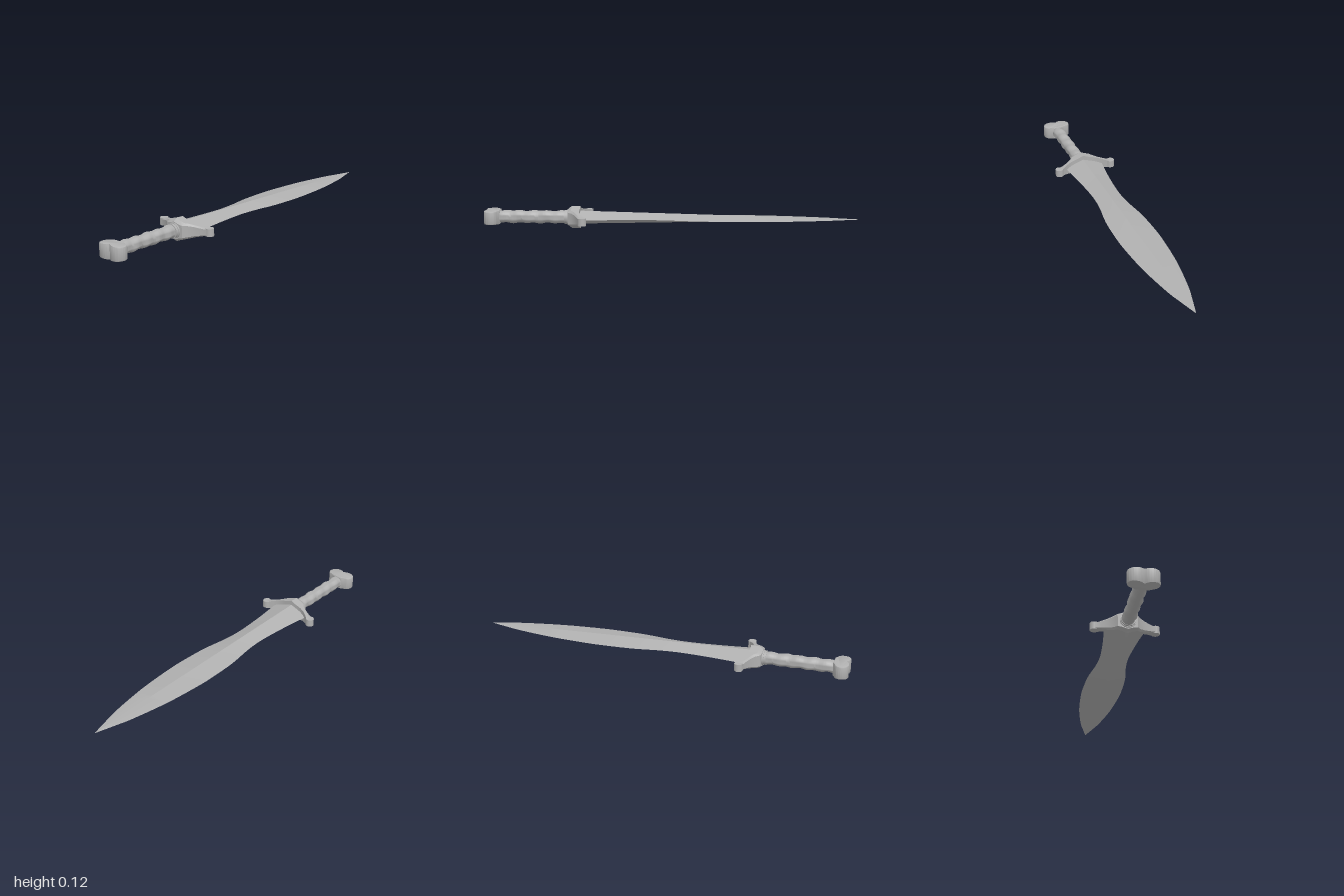
import * as THREE from 'three';
import { toCreasedNormals } from 'three/addons/utils/BufferGeometryUtils.js';

const MID = 0.062; // height of the sword's centre plane

// Skin a list of closed rings (arrays of [x, y, z]) and cap both ends
function loft(rings, crease) {
  const n = rings[0].length;
  const index = [];
  for (let r = 0; r < rings.length - 1; r++) {
    for (let i = 0; i < n; i++) {
      const a = r * n + i, b = r * n + (i + 1) % n;
      index.push(a, b, b + n, a, b + n, a + n);
    }
  }
  const last = (rings.length - 1) * n;
  for (let i = 1; i < n - 1; i++) {
    index.push(0, i + 1, i, last, last + i, last + i + 1);
  }
  const geo = new THREE.BufferGeometry();
  geo.setAttribute('position', new THREE.Float32BufferAttribute(rings.flat(2), 3));
  geo.setIndex(index);
  return toCreasedNormals(geo, crease);
}

export function createModel() {
  const sword = new THREE.Group();
  sword.name = 'sword';
  const steel = new THREE.MeshStandardMaterial({ color: 0xb0b0b0 });
  steel.name = 'grey steel';

  function add(name, geometry, x = 0, y = MID, z = 0) {
    const mesh = new THREE.Mesh(geometry, steel);
    mesh.name = name;
    mesh.position.set(x, y, z);
    sword.add(mesh);
    return mesh;
  }

  // Leaf-shaped blade with a diamond section: outline as (half width, z)
  const outline = new THREE.SplineCurve([
    [0.001, -1], [0.03, -0.9], [0.056, -0.8], [0.09, -0.6], [0.107, -0.4], [0.109, -0.28],
    [0.102, -0.13], [0.083, 0], [0.075, 0.1], [0.078, 0.2], [0.089, 0.33], [0.105, 0.46], [0.106, 0.487],
  ].map(([w, z]) => new THREE.Vector2(w, z)));
  const blade = outline.getPoints(60).map(({ x: w, y: z }) => {
    const t = 0.001 + 0.034 * (z + 1) / 1.487;
    return [[w, 0, z], [0, t, z], [-w, 0, z], [0, -t, z]];
  });
  add('blade', loft(blade, 0.22));

  // Guard: stations of x, back z, front z, half height, mirrored about x = 0
  const half = [
    [0, 0.485, 0.55, 0.06], [0.025, 0.485, 0.55, 0.05], [0.05, 0.485, 0.547, 0.042],
    [0.065, 0.484, 0.525, 0.038], [0.09, 0.477, 0.504, 0.031], [0.115, 0.462, 0.492, 0.025],
    [0.135, 0.447, 0.483, 0.021], [0.152, 0.437, 0.479, 0.019],
  ];
  const stations = [...half.slice(1).reverse().map(([x, ...s]) => [-x, ...s]), ...half];
  const guard = stations.map(([x, zb, zf, h]) => {
    const zm = zf - 0.3 * (zf - zb);
    return [[h, zb], [h, zm], [h * 0.76, zf], [-h * 0.76, zf], [-h, zm], [-h, zb]]
      .map(([y, z]) => [x, y, z]);
  });
  add('guard', loft(guard, 0.45));

  // Rounded ends of the guard
  for (const side of [1, -1]) {
    const name = side > 0 ? 'leftGuardKnob' : 'rightGuardKnob';
    add(name, new THREE.CylinderGeometry(0.022, 0.022, 0.039, 24), side * 0.153, MID, 0.457);
  }

  // Collar between guard and grip
  for (const [r, z] of [[0.04, 0.552], [0.037, 0.564]]) {
    add('collar', new THREE.CylinderGeometry(r, r, 0.012, 28).rotateX(Math.PI / 2), 0, MID, z);
  }

  // Grip: a round bar with uneven spiral wrapping
  const grip = [];
  for (let i = 0; i <= 56; i++) {
    const z = 0.56 + 0.37 * i / 56;
    const ring = [];
    for (let j = 0; j < 24; j++) {
      const a = j / 24 * Math.PI * 2;
      const r = 0.0335 + 0.0022 * Math.sin(a + z * 85) + 0.001 * Math.sin(2 * a - z * 47);
      ring.push([r * Math.cos(a), r * Math.sin(a), z]);
    }
    grip.push(ring);
  }
  add('grip', loft(grip, 0.9));

  // Two-lobed pommel, slightly thicker in the middle
  const lobe = [
    [0.02, 0.994], [0.045, 0.996], [0.067, 0.984], [0.076, 0.96],
    [0.067, 0.936], [0.046, 0.925], [0.03, 0.917],
  ];
  const v = (x, z) => new THREE.Vector2(x, z);
  const shape = new THREE.Shape();
  shape.moveTo(0, 0.981);
  shape.splineThru([...lobe].map(([x, z]) => v(-x, z)));
  shape.lineTo(0.03, 0.917);
  shape.splineThru([...lobe.slice(0, -1).reverse().map(([x, z]) => v(x, z)), v(0, 0.981)]);
  const pommel = new THREE.ExtrudeGeometry(shape, {
    depth: 0.054, bevelThickness: 0.006, bevelSize: 0.006, bevelOffset: -0.005,
    bevelSegments: 2, curveSegments: 32,
  });
  pommel.translate(0, 0, -0.027).rotateX(Math.PI / 2);
  const pos = pommel.attributes.position;
  for (let i = 0; i < pos.count; i++) {
    pos.setY(i, pos.getY(i) * (1.22 - 2.2 * Math.abs(pos.getX(i))));
  }
  add('pommel', toCreasedNormals(pommel, 0.5));

  return sword;
}
